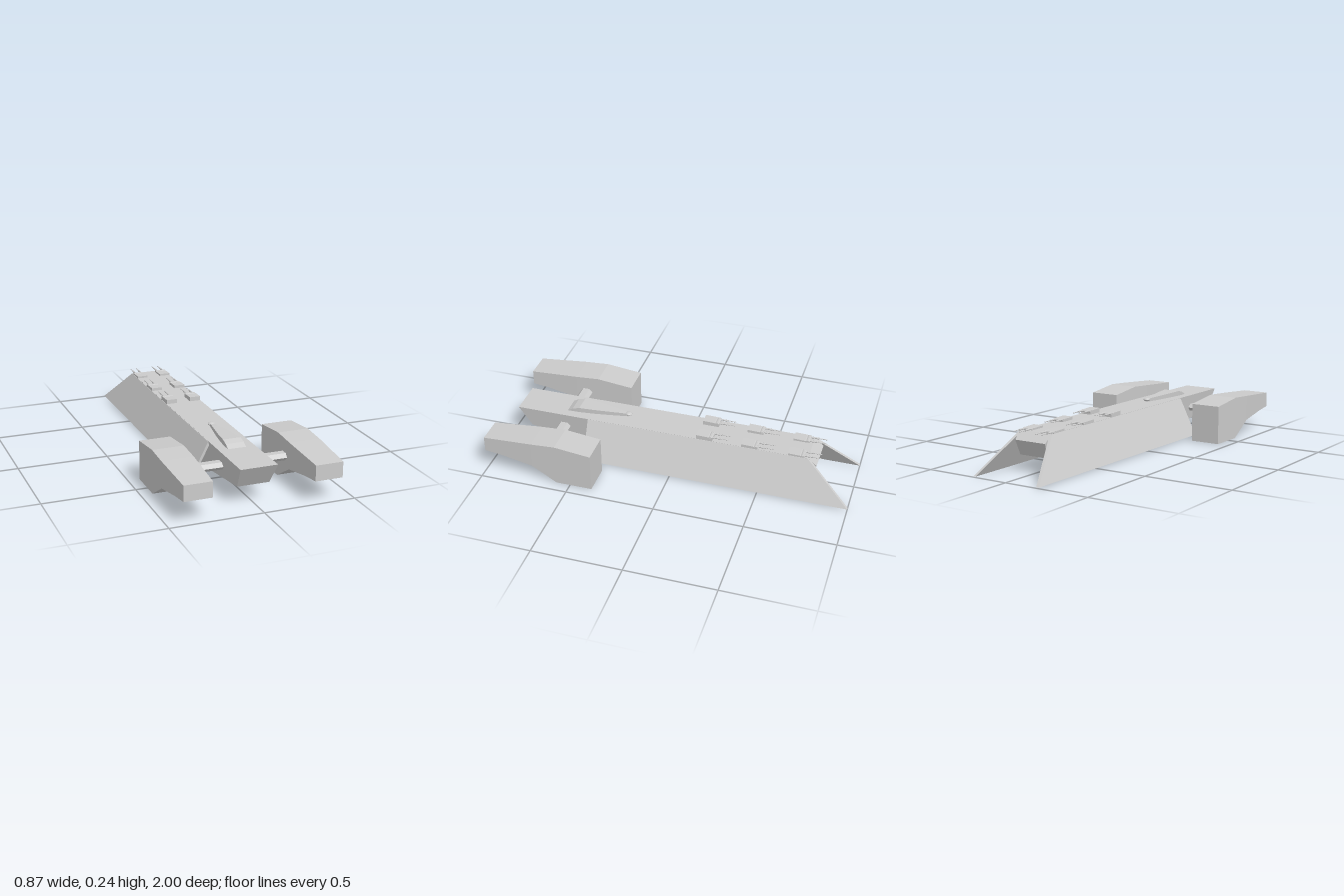
import * as THREE from 'three';

const material = new THREE.MeshStandardMaterial({ color: 0xcccccc, flatShading: true });
const thin = new THREE.MeshStandardMaterial({ color: 0xcccccc, flatShading: true, side: THREE.DoubleSide });

function add(parent, name, geometry, x = 0, y = 0, z = 0, mat = material) {
  const mesh = new THREE.Mesh(geometry, mat);
  mesh.name = name;
  mesh.position.set(x, y, z);
  parent.add(mesh);
  return mesh;
}

// Extrudes a side profile of [z, y] points across x, then moves x by a rule
function sideProfile(points, width, rule) {
  const shape = new THREE.Shape(points.map(([z, y]) => new THREE.Vector2(z, y)));
  const geo = new THREE.ExtrudeGeometry(shape, { depth: width, bevelEnabled: false });
  geo.translate(0, 0, -width / 2);
  geo.rotateY(-Math.PI / 2);
  const p = geo.attributes.position;
  for (let i = 0; i < p.count; i++) p.setX(i, rule(p.getX(i), p.getY(i), p.getZ(i)));
  geo.computeVertexNormals();
  return geo;
}

// Gun turret: wedge housing, pivot and twin barrels aimed aft
function makeTurret(top) {
  const turret = new THREE.Group();
  turret.name = 'turret';
  const housing = [[0.075, 0.213], [0.075, top], [0.01, top - 0.002], [-0.015, top - 0.01], [-0.015, 0.213]];
  add(turret, 'turretHousing', sideProfile(housing, 0.062, (x) => x));
  add(turret, 'turretPivot', new THREE.CylinderGeometry(0.012, 0.012, 0.06, 10).rotateZ(Math.PI / 2), 0, top - 0.008, -0.005).scale.y = 0.6;
  for (const x of [-0.018, 0.018]) {
    add(turret, 'barrelSleeve', new THREE.CylinderGeometry(0.005, 0.005, 0.06, 8).rotateX(Math.PI / 2), x, top - 0.006, -0.03);
    add(turret, 'barrel', new THREE.CylinderGeometry(0.0025, 0.0025, 0.1, 8).rotateX(Math.PI / 2), x, top - 0.006, -0.055);
  }
  return turret;
}

// Tapered command ridge built from cross-sections [z, half width, height]
function makeRidge() {
  const sections = [[0.65, 0.05, 0.215], [0.62, 0.05, 0.232], [0.58, 0.049, 0.243], [0.5, 0.041, 0.241],
    [0.42, 0.029, 0.238], [0.35, 0.017, 0.235], [0.3, 0.008, 0.232]];
  const base = 0.212;
  const corners = ([z, w, h]) => [[-w, base, z], [-w, h, z], [w, h, z], [w, base, z]];
  const pos = [];
  const quad = (a, b, c, d) => pos.push(...a, ...b, ...c, ...a, ...c, ...d);
  for (let i = 0; i < sections.length - 1; i++) {
    const f = corners(sections[i]), r = corners(sections[i + 1]);
    for (let k = 0; k < 3; k++) quad(f[k], f[k + 1], r[k + 1], r[k]);
  }
  const e = corners(sections[sections.length - 1]);
  quad(e[0], e[1], e[2], e[3]);
  const s = corners(sections[0]);
  quad(s[3], s[2], s[1], s[0]);
  const geo = new THREE.BufferGeometry();
  geo.setAttribute('position', new THREE.Float32BufferAttribute(pos, 3));
  geo.computeVertexNormals();
  return geo;
}

export function createModel() {
  const ship = new THREE.Group();
  ship.name = 'ship';

  // Central hull, narrowing downwards, with a stepped belly and an aft block
  const hull = [[0.93, 0.215], [0.86, 0.097], [0.45, 0.04], [0.2, 0.04], [0.13, 0.15], [-0.15, 0.15], [-0.16, 0.17],
    [-0.54, 0.17], [-0.56, 0.09], [-0.77, 0.09], [-0.8, 0.172], [-0.75, 0.215]];
  add(ship, 'hull', sideProfile(hull, 2, (x, y) => x * (0.101 - (0.215 - y) * 0.11)));

  // Ridge and sensor dome on the deck
  add(ship, 'commandRidge', makeRidge(), 0, 0, 0, thin);
  add(ship, 'sensorDome', new THREE.SphereGeometry(0.02, 14, 8), 0, 0.228, 0.3).scale.y = 0.5;

  const wing = [[0.51, 0.214], [0.51, 0.005], [-1, 0.005], [-0.75, 0.214]];
  const nacelle = [[1, 0.21], [1, 0.125], [0.9, 0.115], [0.72, 0.085], [0.58, 0], [0.375, 0], [0.375, 0.217],
    [0.58, 0.24], [0.72, 0.231]];

  for (const side of [-1, 1]) {
    // Sloping side plate
    add(ship, 'sidePlate', sideProfile(wing, 0.016, (x, y) => x + side * (0.201 - (y - 0.005) * 0.505)), 0, 0, 0, thin);

    // Engine pod, slightly pinched towards the nose
    add(ship, 'enginePod', sideProfile(nacelle, 0.172,
      (x, y, z) => x * (1 - 0.12 * Math.max(0, (z - 0.72) / 0.28))), side * 0.35);

    // Flattened hexagonal strut
    const strut = new THREE.CylinderGeometry(0.037, 0.037, 0.2, 6).rotateZ(Math.PI / 2).scale(1, 0.62, 1);
    add(ship, 'podStrut', strut, side * 0.18, 0.14, 0.658);

    // Three turrets along each deck edge
    [[-0.2, 0.239], [-0.455, 0.231], [-0.715, 0.226]].forEach(([z, top]) => {
      const turret = makeTurret(top);
      turret.position.set(side * 0.07, 0, z);
      ship.add(turret);
    });
  }
  return ship;
}
